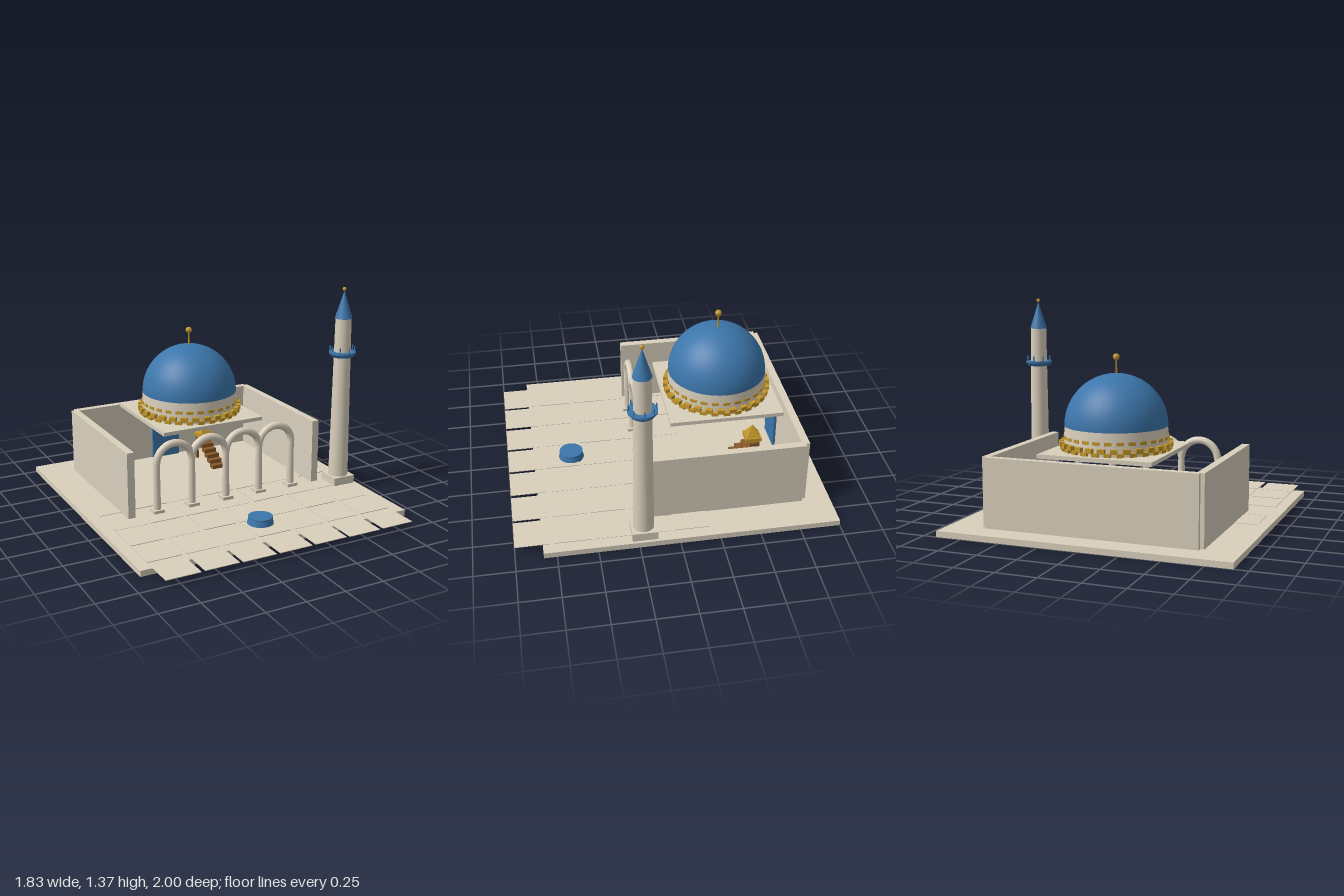
import * as THREE from 'three';

const material = (name, color, extra = {}) => {
  const m = new THREE.MeshStandardMaterial({ color, ...extra });
  m.name = name;
  return m;
};

export function createModel() {
  const stone = material('stone', 0xd9cfbc);
  const blue = material('blue tile', 0x3c76ab);
  const gold = material('gold', 0xc2962b);
  const wood = material('wood', 0x8a5a2b);

  const group = (name, parent, x = 0, y = 0, z = 0) => {
    const g = new THREE.Group();
    g.name = name;
    g.position.set(x, y, z);
    parent.add(g);
    return g;
  };
  const add = (parent, name, geometry, mat, x = 0, y = 0, z = 0) => {
    const mesh = new THREE.Mesh(geometry, mat);
    mesh.name = name;
    mesh.position.set(x, y, z);
    parent.add(mesh);
    return mesh;
  };
  // Box given by its limits on each axis
  const box = (parent, name, mat, x0, x1, y0, y1, z0, z1) =>
    add(parent, name, new THREE.BoxGeometry(x1 - x0, y1 - y0, z1 - z0), mat,
      (x0 + x1) / 2, (y0 + y1) / 2, (z0 + z1) / 2);
  // Upright cylinder between two heights
  const cyl = (parent, name, mat, rBottom, rTop, y0, y1, x = 0, z = 0, sides = 32) =>
    add(parent, name, new THREE.CylinderGeometry(rTop, rBottom, y1 - y0, sides), mat, x, (y0 + y1) / 2, z);

  const model = new THREE.Group();
  model.name = 'domedCourtyard';
  const floor = 0.037;

  // Ground slab and paving, which runs past the front edge
  box(model, 'groundSlab', stone, -0.915, 0.915, 0, floor, -1, 0.83);
  const paving = group('paving', model);
  for (let row = 0; row < 5; row++) {
    for (let col = -3; col <= 3; col++) {
      const lift = 0.0015 * Math.sin(col * 2.3 + row * 1.7);
      add(paving, 'pavingTile', new THREE.BoxGeometry(0.22, 0.004, 0.22), stone,
        col * 0.243, floor + 0.001 + lift, 0.89 - row * 0.243);
    }
  }

  // Walls around three sides
  const walls = group('walls', model);
  box(walls, 'backWall', stone, -0.67, 0.67, floor, 0.47, -0.845, -0.797);
  for (const s of [-1, 1]) {
    const wall = box(walls, 'sideWall', stone, 0.647, 0.695, floor, 0.47, -0.82, 0.15);
    wall.position.x *= s;
  }

  // Dome on its drum and square plate
  const dome = group('dome', model, 0, 0, -0.395);
  box(dome, 'roofPlate', stone, -0.362, 0.362, 0.47, 0.495, -0.365, 0.365);
  cyl(dome, 'drum', stone, 0.325, 0.315, 0.495, 0.64, 0, 0, 48);
  add(dome, 'domeShell',
    new THREE.SphereGeometry(0.317, 48, 20, 0, Math.PI * 2, 0, Math.PI / 2), blue, 0, 0.637, 0);
  cyl(dome, 'finialRod', gold, 0.006, 0.006, 0.94, 1.05, 0, 0, 12);
  add(dome, 'finialBall', new THREE.SphereGeometry(0.021, 20, 14), gold, 0, 1.053, 0);

  // Stepped gold blocks around the drum: radius, height, block size, turn
  const cornice = group('cornice', dome);
  const count = 28;
  [
    [0.328, 0.507, 0.042, 0.022, 0],
    [0.334, 0.530, 0.044, 0.028, 0.5],
    [0.308, 0.572, 0.044, 0.020, 0],
  ].forEach(([r, y, w, h, turn]) => {
    for (let i = 0; i < count; i++) {
      const a = (i + turn) / count * Math.PI * 2;
      const block = add(cornice, 'corniceBlock', new THREE.BoxGeometry(w, h, 0.03), gold,
        Math.sin(a) * r, y, Math.cos(a) * r);
      block.rotation.y = a;
    }
  });

  // Arcade of five columns and four round arches
  const arcade = group('arcade', model, 0, 0, 0.13);
  const span = 0.245, spring = 0.357;
  for (let i = -2; i <= 2; i++) {
    box(arcade, 'columnBase', stone, i * span - 0.037, i * span + 0.037, floor, 0.06, -0.037, 0.037);
    cyl(arcade, 'column', stone, 0.024, 0.021, 0.06, spring, i * span, 0, 20);
    if (i < 2) {
      add(arcade, 'arch', new THREE.TorusGeometry(span / 2, 0.024, 14, 32, Math.PI), stone,
        (i + 0.5) * span, spring, 0);
    }
  }

  // Prayer niche on the back wall with a gold quarter disc
  const niche = group('niche', model);
  box(niche, 'nichePanel', blue, -0.103, 0.103, floor, 0.345, -0.798, -0.78);
  const fan = new THREE.Shape().moveTo(0, 0).absarc(0, 0, 0.065, 0, Math.PI / 2, false).lineTo(0, 0);
  add(niche, 'nicheFan', new THREE.ExtrudeGeometry(fan, { depth: 0.02, bevelEnabled: false, curveSegments: 12 }),
    gold, 0, 0.243, -0.782);

  // Stepped pulpit with a small gold canopy
  const pulpit = group('pulpit', model, 0.215, 0, 0);
  const steps = 6;
  for (let i = 0; i < steps; i++) {
    const z1 = -0.37 - i * 0.042;
    box(pulpit, 'pulpitStep', wood, -0.045, 0.045,
      floor + i * 0.026, floor + (i + 1) * 0.026, z1 - 0.05, z1);
  }
  box(pulpit, 'canopyBase', gold, -0.053, 0.053, 0.208, 0.235, -0.655, -0.55);
  for (const x of [-0.035, 0.035]) {
    box(pulpit, 'canopyPost', wood, x - 0.008, x + 0.008, floor, 0.21, -0.645, -0.63);
  }
  const roof = add(pulpit, 'canopyRoof', new THREE.ConeGeometry(0.062, 0.08, 4).toNonIndexed(), gold, 0, 0.275, -0.602);
  roof.geometry.computeVertexNormals();
  roof.rotation.y = Math.PI / 4;

  // Minaret with balcony and pointed cap
  const minaret = group('minaret', model, 0.82, 0, 0.215);
  box(minaret, 'minaretBase', stone, -0.078, 0.078, floor, 0.092, -0.078, 0.078);
  cyl(minaret, 'minaretShaft', stone, 0.065, 0.052, 0.092, 1.17);
  cyl(minaret, 'balcony', blue, 0.072, 0.087, 0.915, 0.935);
  cyl(minaret, 'balconyRim', blue, 0.088, 0.088, 0.935, 0.948);
  for (let i = 0; i < 8; i++) {
    const a = i / 8 * Math.PI * 2;
    cyl(minaret, 'balconyPost', blue, 0.004, 0.004, 0.945, 0.983,
      Math.cos(a) * 0.081, Math.sin(a) * 0.081, 8);
  }
  cyl(minaret, 'minaretCap', blue, 0.057, 0.002, 1.17, 1.345);
  add(minaret, 'minaretFinial', new THREE.SphereGeometry(0.013, 16, 12), gold, 0, 1.36, 0);

  // Courtyard fountain
  const fountain = group('fountain', model, 0, 0, 0.58);
  cyl(fountain, 'fountainBasin', blue, 0.084, 0.074, floor, 0.078);
  cyl(fountain, 'fountainRim', blue, 0.077, 0.077, 0.078, 0.086);

  return model;
}
